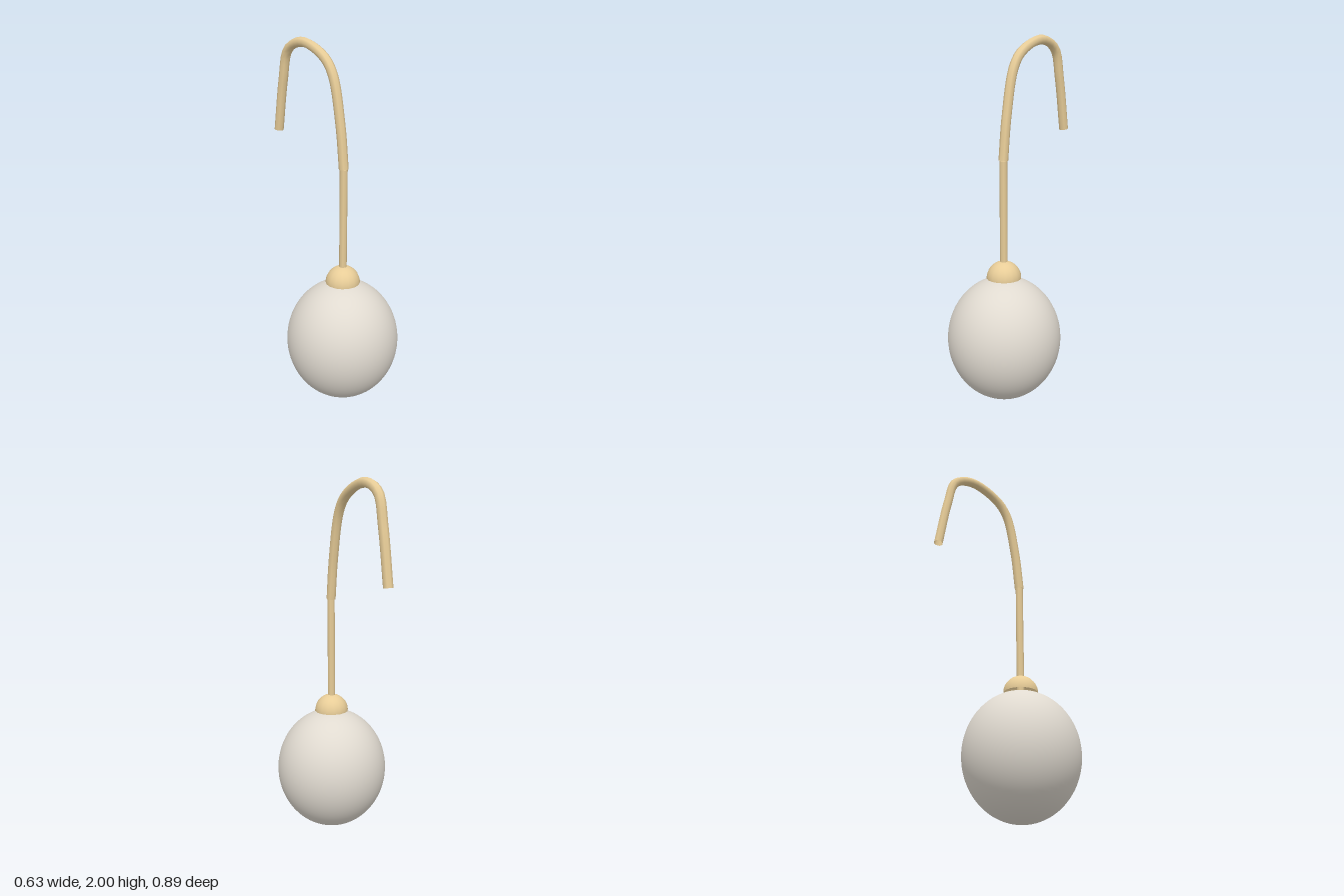
import * as THREE from 'three';

export function createModel() {
  const model = new THREE.Group();
  model.name = 'hangingOrnament';
  const pearl = new THREE.MeshStandardMaterial({ color: 0xe0dad0 });
  const gold = new THREE.MeshStandardMaterial({ color: 0xe8cd98, side: THREE.DoubleSide });
  const axisZ = 0.13; // the ball, cap and stem share this upright axis

  const add = (name, geometry, material, y = 0, z = 0) => {
    const mesh = new THREE.Mesh(geometry, material);
    mesh.name = name;
    mesh.position.set(0, y, z);
    model.add(mesh);
    return mesh;
  };

  // Slightly tall ball
  const ball = add('ball', new THREE.SphereGeometry(0.316, 64, 48), pearl, 0.35, axisZ);
  ball.scale.y = 0.35 / 0.316;

  // Open half-dome cap resting on the ball
  add('cap', new THREE.SphereGeometry(0.096, 16, 16, 0, Math.PI * 2, 0, Math.PI / 2), gold, 0.7, axisZ);

  // Straight stem
  add('stem', new THREE.CylinderGeometry(0.021, 0.021, 0.65, 8), gold, 1.025, axisZ);

  // Hook bending over to the back, as [y, z] points
  const path = new THREE.CatmullRomCurve3([
    [1.35, 0.13], [1.58, 0.102], [1.83, 0.042], [1.915, -0.03],
    [1.974, -0.2], [1.925, -0.32], [1.76, -0.367], [1.472, -0.416],
  ].map(([y, z]) => new THREE.Vector3(0, y, z)));
  add('hook', new THREE.TubeGeometry(path, 40, 0.026, 8, false), gold);

  return model;
}
